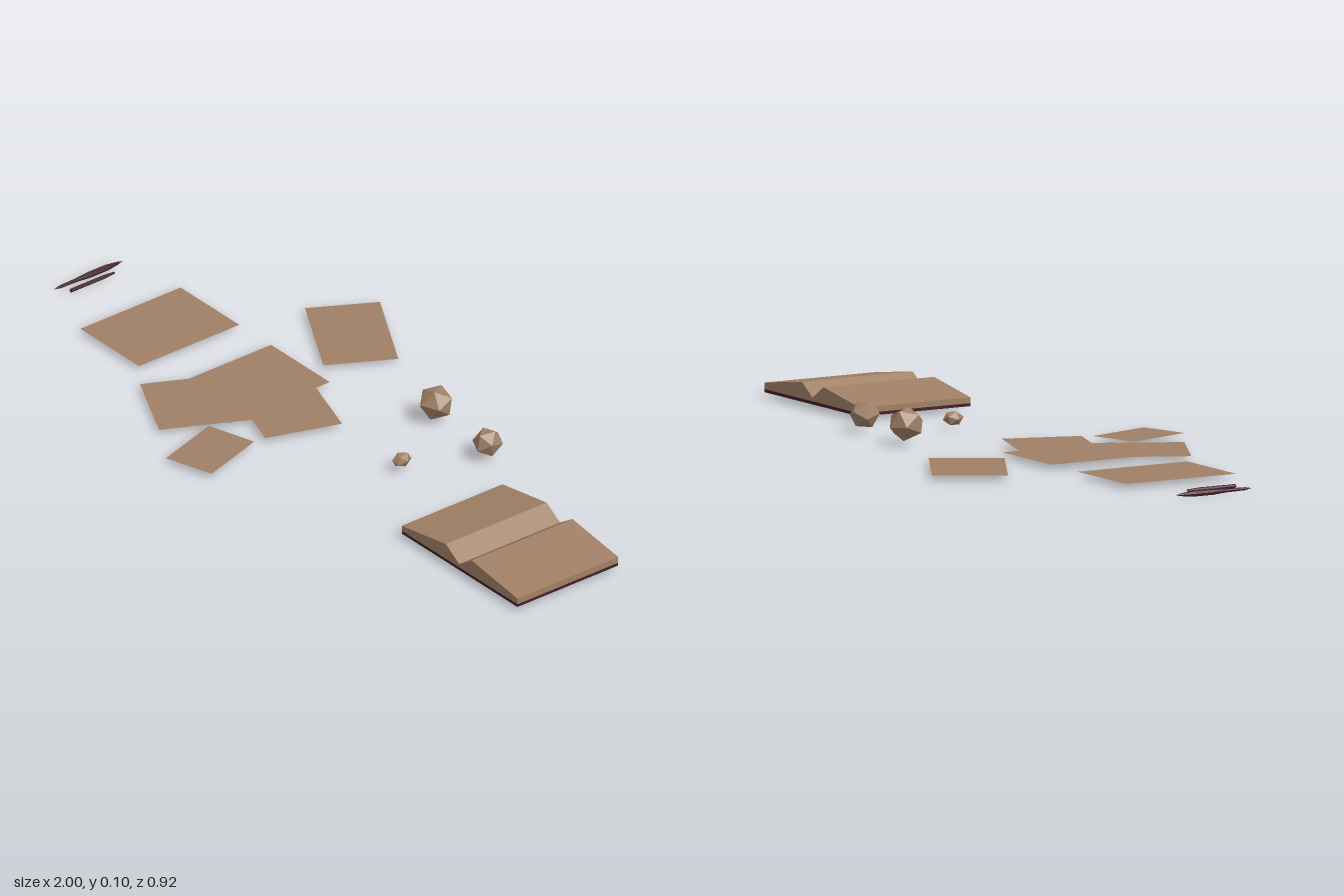
import * as THREE from 'three';

export function createModel() {
  const root = new THREE.Group();
  const mat = (name, color, extra = {}) => {
    const m = new THREE.MeshStandardMaterial({ color, ...extra });
    m.name = name;
    return m;
  };
  const paper = mat('paper', 0xa08066, { side: THREE.DoubleSide, flatShading: true });
  const leather = mat('dark leather', 0x42202a, { flatShading: true });

  const add = (name, geometry, material, x = 0, y = 0, z = 0) => {
    const mesh = new THREE.Mesh(geometry, material);
    mesh.name = name;
    mesh.position.set(x, y, z);
    root.add(mesh);
    return mesh;
  };

  // Loose sheets: centre x, z, height, width, length, turn in degrees
  const sheets = [
    [-0.67, 0.055, 0.013, 0.24, 0.33, 0],
    [-0.335, -0.307, 0.013, 0.29, 0.195, -29.5],
    [-0.3, 0.055, 0.0135, 0.24, 0.33, 0],
    [-0.172, 0.05, 0.0155, 0.302, 0.21, -18.5],
    [-0.3, 0.18, 0.0125, 0.235, 0.33, -26.8],
    [-0.108, 0.342, 0.0135, 0.141, 0.195, 17],
  ];
  for (const [x, z, y, w, l, turn] of sheets) {
    const g = new THREE.PlaneGeometry(w, l).rotateX(-Math.PI / 2);
    add('looseSheet', g, paper, x, y, z).rotation.y = THREE.MathUtils.degToRad(turn);
  }

  // Crumpled paper balls: position, radii, rotation
  const balls = [
    [0.124, 0.055, -0.215, 0.048, 0.046, 0.048, 0.4, 0.3],
    [0.354, 0.049, -0.2, 0.038, 0.039, 0.042, 0.9, 0.7],
    [0.263, 0.033, 0.01, 0.02, 0.021, 0.029, 0.2, 1.1],
  ];
  for (const [x, y, z, rx, ry, rz, a, b] of balls) {
    const g = new THREE.IcosahedronGeometry(1, 0).rotateX(a).rotateZ(b).scale(rx, ry, rz);
    add('crumpledBall', g, paper, x, y, z);
  }

  // Open book: flat cover with a two-peaked page block
  const depth = 0.332;
  add('bookCover', new THREE.BoxGeometry(0.473, 0.008, depth), leather, 0.7615, 0.016, 0.055);
  const pages = new THREE.Shape([
    [0.525, 0.02], [0.998, 0.02], [0.998, 0.037], [0.811, 0.064],
    [0.76, 0.03], [0.705, 0.064], [0.525, 0.035],
  ].map(([x, y]) => new THREE.Vector2(x, y)));
  add('bookPages', new THREE.ExtrudeGeometry(pages, { depth, bevelEnabled: false }),
    paper, 0, 0, 0.055 - depth / 2);

  // Pens lying along z: profiles of [radius, z]
  const pen = (name, profile, x, y) => {
    const pts = profile.map(([r, z]) => new THREE.Vector2(r, z));
    add(name, new THREE.LatheGeometry(pts, 8).rotateX(Math.PI / 2), leather, x, y, 0);
  };
  pen('taperedPen', [[0, -0.082], [0.004, -0.065], [0.008, -0.03], [0.008, 0.03],
    [0.005, 0.07], [0.004, 0.125], [0, 0.145]], -0.992, 0.009);
  pen('slimPen', [[0, -0.028], [0.003, -0.025], [0.005, 0.01], [0.005, 0.118], [0, 0.12]],
    -0.956, 0.012);

  return root;
}
